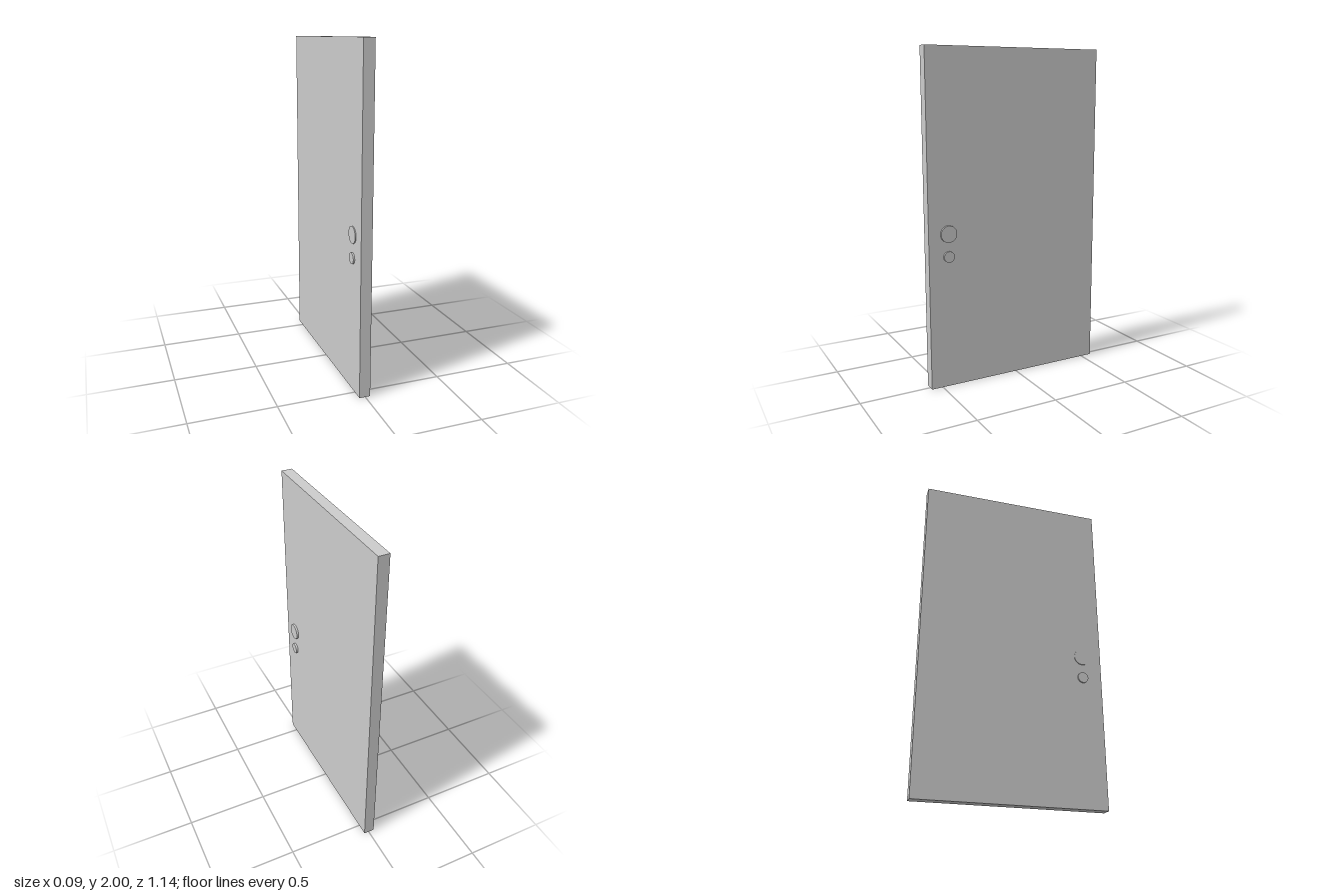
import * as THREE from 'three';

export function createModel() {
  const group = new THREE.Group();
  const material = new THREE.MeshStandardMaterial({ color: 0xcccccc });
  const add = (name, geometry, x, y, z) => {
    const mesh = new THREE.Mesh(geometry, material);
    mesh.name = name;
    mesh.position.set(x, y, z);
    group.add(mesh);
    return mesh;
  };

  // Door slab, slightly off centre because the fittings project unequally
  const faces = { right: -0.036, left: 0.03 };
  const thickness = faces.left - faces.right;
  add('doorPanel', new THREE.BoxGeometry(thickness, 2, 1.142), (faces.left + faces.right) / 2, 1, 0);

  // Round plate seated on one face, its axis along x
  const plate = (name, radius, face, outer, y) => {
    const geometry = new THREE.CylinderGeometry(radius, radius, Math.abs(outer - face), 48);
    geometry.rotateZ(Math.PI / 2);
    add(name, geometry, (face + outer) / 2, y, 0.448);
  };

  // Handle plate and smaller lock plate on both sides
  plate('handlePlateLeft', 0.05, faces.left, 0.043, 0.937);
  plate('lockPlateLeft', 0.033, faces.left, 0.043, 0.801);
  plate('handlePlateRight', 0.05, faces.right, -0.042, 0.937);
  plate('lockPlateRight', 0.033, faces.right, -0.045, 0.801);

  return group;
}
